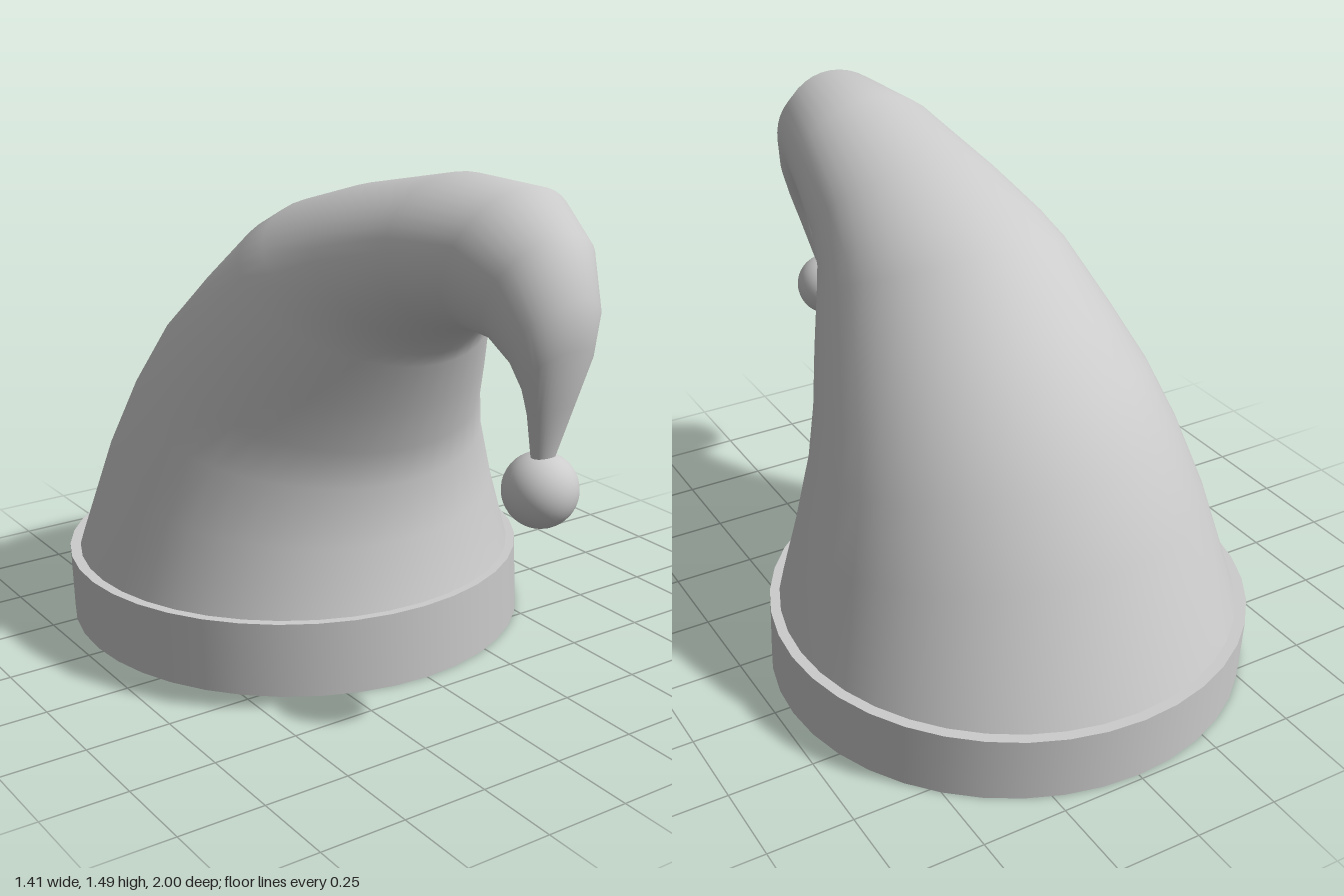
import * as THREE from 'three';

const SEG = 40;
const material = new THREE.MeshStandardMaterial({ color: 0xcccccc, side: THREE.DoubleSide });

// Cross-sections of the cone: [back z, back y, front z, front y, half width]
const RINGS = [
  [-0.965, 0.2, 0.39, 0.215, 0.675],
  [-0.82, 0.56, 0.335, 0.4, 0.6],
  [-0.71, 0.78, 0.32, 0.57, 0.535],
  [-0.59, 0.95, 0.345, 0.68, 0.485],
  [-0.44, 1.09, 0.4, 0.82, 0.43],
  [-0.24, 1.26, 0.45, 0.95, 0.365],
  [-0.13, 1.32, 0.475, 0.99, 0.335],
  [0.13, 1.4, 0.51, 1.03, 0.295],
  [0.51, 1.485, 0.58, 1.075, 0.25],
  [0.8, 1.49, 0.66, 1.1, 0.205],
  [0.94, 1.395, 0.76, 1.09, 0.165],
  [1.0, 1.24, 0.835, 1.04, 0.13],
  [1.0, 1.12, 0.865, 0.98, 0.1],
  [0.955, 0.96, 0.873, 0.93, 0.07],
  [0.918, 0.82, 0.865, 0.82, 0.036],
  [0.91, 0.78, 0.865, 0.78, 0.034],
];

// Skin elliptical rings, each spanning a back point and a front point
function loft(rings) {
  const pos = [], index = [];
  rings.forEach(([bz, by, fz, fy, w], i) => {
    for (let j = 0; j < SEG; j++) {
      const a = (j / SEG) * Math.PI * 2;
      const t = (1 + Math.cos(a)) / 2;
      pos.push(w * Math.sin(a), by + (fy - by) * t, bz + (fz - bz) * t);
      if (i === rings.length - 1) continue;
      const k = (j + 1) % SEG;
      const p = i * SEG + j, q = i * SEG + k;
      index.push(p, q, q + SEG, p, q + SEG, p + SEG);
    }
  });
  const g = new THREE.BufferGeometry();
  g.setAttribute('position', new THREE.Float32BufferAttribute(pos, 3));
  g.setIndex(index);
  g.computeVertexNormals();
  return g;
}

// Hollow band with a ledge where the cone meets it; doubled points keep edges sharp
function bandGeometry() {
  const corners = [[0.685, 0], [0.705, 0], [0.705, 0.21], [0.655, 0.21], [0.655, 0.192], [0.685, 0.192], [0.685, 0]];
  const pts = corners.flatMap(([r, y], i) => {
    const p = new THREE.Vector2(r, y);
    return i > 0 && i < corners.length - 1 ? [p, p.clone()] : [p];
  });
  const g = new THREE.LatheGeometry(pts, SEG);
  // Lean the top slightly backwards and lift its front edge
  const p = g.attributes.position;
  for (let i = 0; i < p.count; i++) {
    const k = p.getY(i) / 0.21, z = p.getZ(i);
    p.setY(i, p.getY(i) + k * z * 0.014);
    p.setZ(i, z - 0.278 - k * 0.014);
  }
  return g;
}

export function createModel() {
  const model = new THREE.Group();
  model.name = 'hat';
  const add = (name, geometry) => {
    const mesh = new THREE.Mesh(geometry, material);
    mesh.name = name;
    model.add(mesh);
    return mesh;
  };

  add('droopingCone', loft(RINGS));
  add('brimBand', bandGeometry());
  add('pompom', new THREE.SphereGeometry(0.1, 32, 20)).position.set(0, 0.725, 0.885);

  return model;
}
